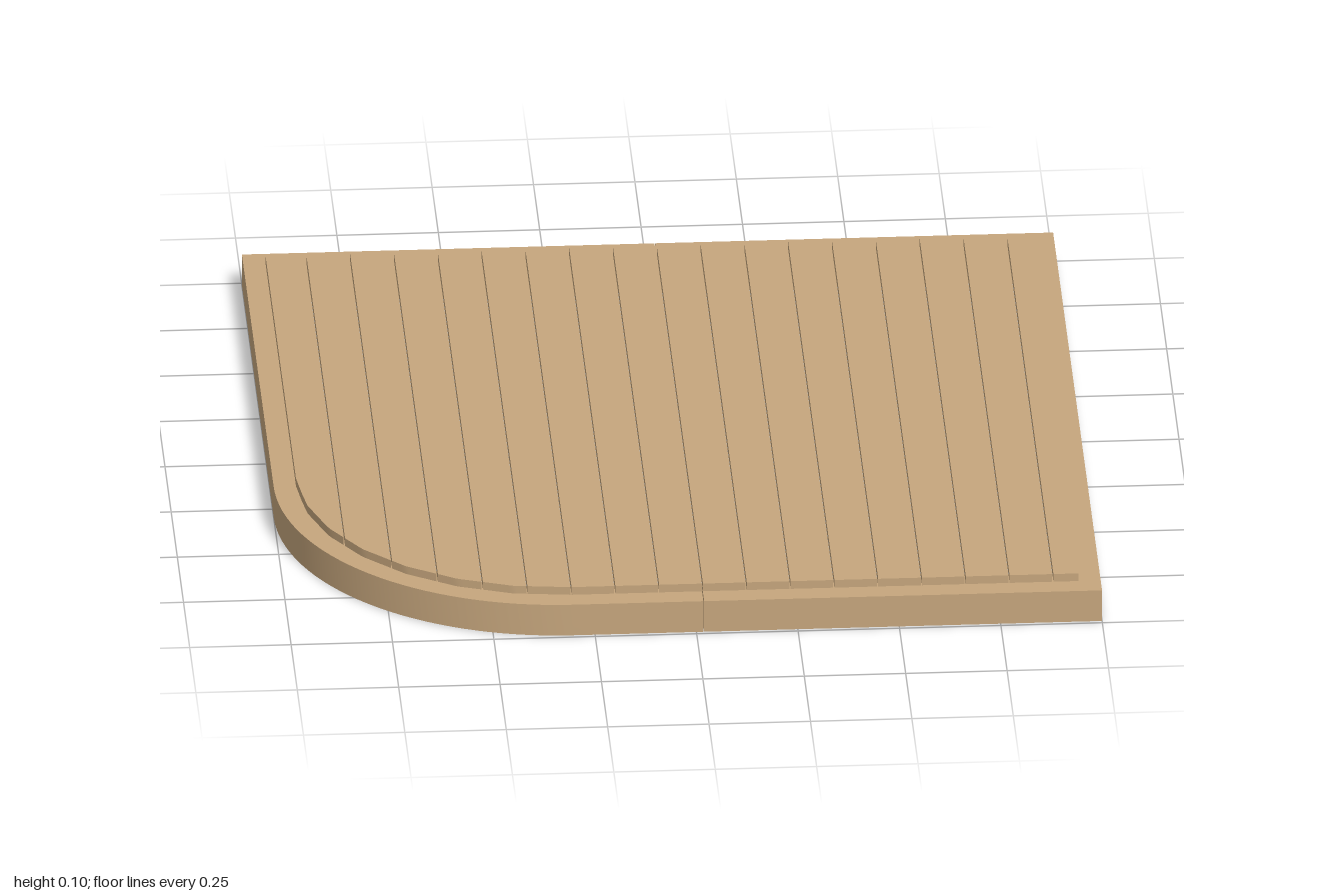
import * as THREE from 'three';
import { toCreasedNormals } from 'three/addons/utils/BufferGeometryUtils.js';

const FRAME_TOP = 0.084, DECK_TOP = 0.105;
const HALF_X = 1, HALF_Z = 0.99, SEAM = 0.018;
const CX = -0.305, CZ = 0.295;          // centre of the rounded front corner
const FRAME_WIDTH = 0.1, DECK_INSET = 0.055;
const PITCH = 0.108, GAP = 0.003;

// Extrude a plan outline of [x, z] points upward from y0 to y1
function slab(points, y0, y1) {
  const shape = new THREE.Shape(points.map(([x, z]) => new THREE.Vector2(x, -z)));
  const geo = new THREE.ExtrudeGeometry(shape, { depth: y1 - y0, bevelEnabled: false });
  geo.rotateX(-Math.PI / 2);
  geo.translate(0, y0, 0);
  return toCreasedNormals(geo, 0.4);
}

// Rounded half of the outline, inset by d, from the front seam to the back seam
function roundedSide(d, seam) {
  const r = HALF_X + CX - d;
  const pts = [[seam, HALF_Z - d]];
  for (let i = 0; i <= 32; i++) {
    const a = (i / 32) * Math.PI / 2;
    pts.push([CX - r * Math.sin(a), CZ + r * Math.cos(a)]);
  }
  pts.push([-HALF_X + d, -HALF_Z + d], [seam, -HALF_Z + d]);
  return pts;
}

// Square half of the outline, inset by d
function squareSide(d, seam) {
  return [[seam, HALF_Z - d], [HALF_X - d, HALF_Z - d], [HALF_X - d, -HALF_Z + d], [seam, -HALF_Z + d]];
}

// Front edge of the decking at a given x, following a faceted corner
function deckFront(x) {
  const r = HALF_X + CX - DECK_INSET, step = Math.PI / 14;
  if (x >= CX) return CZ + r;
  const k = Math.min(6, Math.floor(Math.asin(Math.min(1, (CX - x) / r)) / step));
  const x0 = CX - r * Math.sin(k * step), x1 = CX - r * Math.sin((k + 1) * step);
  const z0 = CZ + r * Math.cos(k * step), z1 = CZ + r * Math.cos((k + 1) * step);
  return z0 + (z1 - z0) * (x0 - x) / (x0 - x1);
}

export function createModel() {
  const group = new THREE.Group();
  const wood = new THREE.MeshStandardMaterial({ color: 0xc6a67d });
  wood.name = 'wood';

  const add = (name, geo) => {
    const mesh = new THREE.Mesh(geo, wood);
    mesh.name = name;
    group.add(mesh);
  };

  // Two frame halves meeting at a thin seam
  for (const [name, side, seam] of [
    ['roundedFrame', roundedSide, SEAM - 0.001],
    ['squareFrame', squareSide, SEAM + 0.001],
  ]) {
    const outline = [...side(0, seam), ...side(FRAME_WIDTH, seam).reverse()];
    add(name, slab(outline, 0, FRAME_TOP));
  }

  // Planks running front to back, trimmed to the deck outline
  const edge = HALF_X - DECK_INSET, back = -HALF_Z + DECK_INSET;
  for (let k = -9; k <= 8; k++) {
    const x0 = Math.max(-edge, SEAM + k * PITCH + GAP / 2);
    const x1 = Math.min(edge, SEAM + (k + 1) * PITCH - GAP / 2);
    if (x1 - x0 < 0.01) continue;
    const pts = [[x0, back], [x1, back]];
    const n = x0 < CX ? 10 : 1;
    for (let i = n; i >= 0; i--) {
      const x = x0 + (x1 - x0) * i / n;
      pts.push([x, deckFront(x)]);
    }
    // Straight left edge starts where the corner arc ends
    add('plank', slab(pts, FRAME_TOP, DECK_TOP));
  }
  return group;
}
